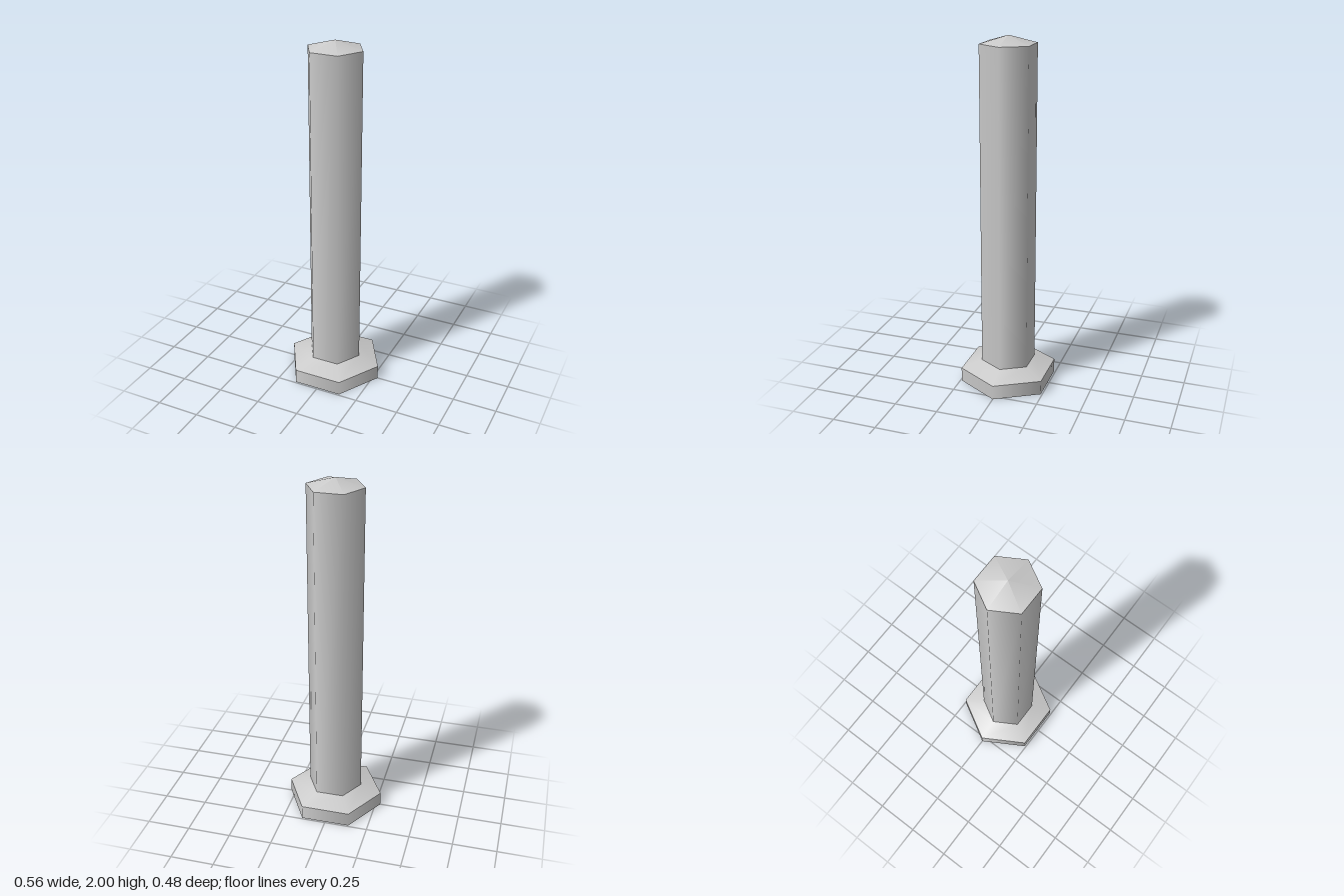
import * as THREE from 'three';

const SIDES = 6;

export function createModel() {
  const group = new THREE.Group();
  const material = new THREE.MeshStandardMaterial({ color: 0xcccccc });

  // One six-sided band with corners on the x axis, shaded smoothly around
  function addBand(name, bottomRadius, topRadius, y0, y1) {
    const geometry = new THREE.CylinderGeometry(
      topRadius, bottomRadius, y1 - y0, SIDES, 1, true, Math.PI / 2);
    const mesh = new THREE.Mesh(geometry, material);
    mesh.name = name;
    mesh.position.y = (y0 + y1) / 2;
    group.add(mesh);
  }

  const baseRadius = 0.279, shaftRadius = 0.157;

  addBand('baseRim', baseRadius, baseRadius, 0, 0.083);
  addBand('baseSlope', baseRadius, shaftRadius, 0.083, 0.125);
  addBand('shaft', shaftRadius, shaftRadius, 0.125, 1.957);
  addBand('pointedTip', shaftRadius, 0, 1.957, 2);

  // Flat underside, facing down
  const underside = new THREE.Mesh(new THREE.CircleGeometry(baseRadius, SIDES), material);
  underside.name = 'underside';
  underside.rotation.x = Math.PI / 2;
  group.add(underside);

  return group;
}
